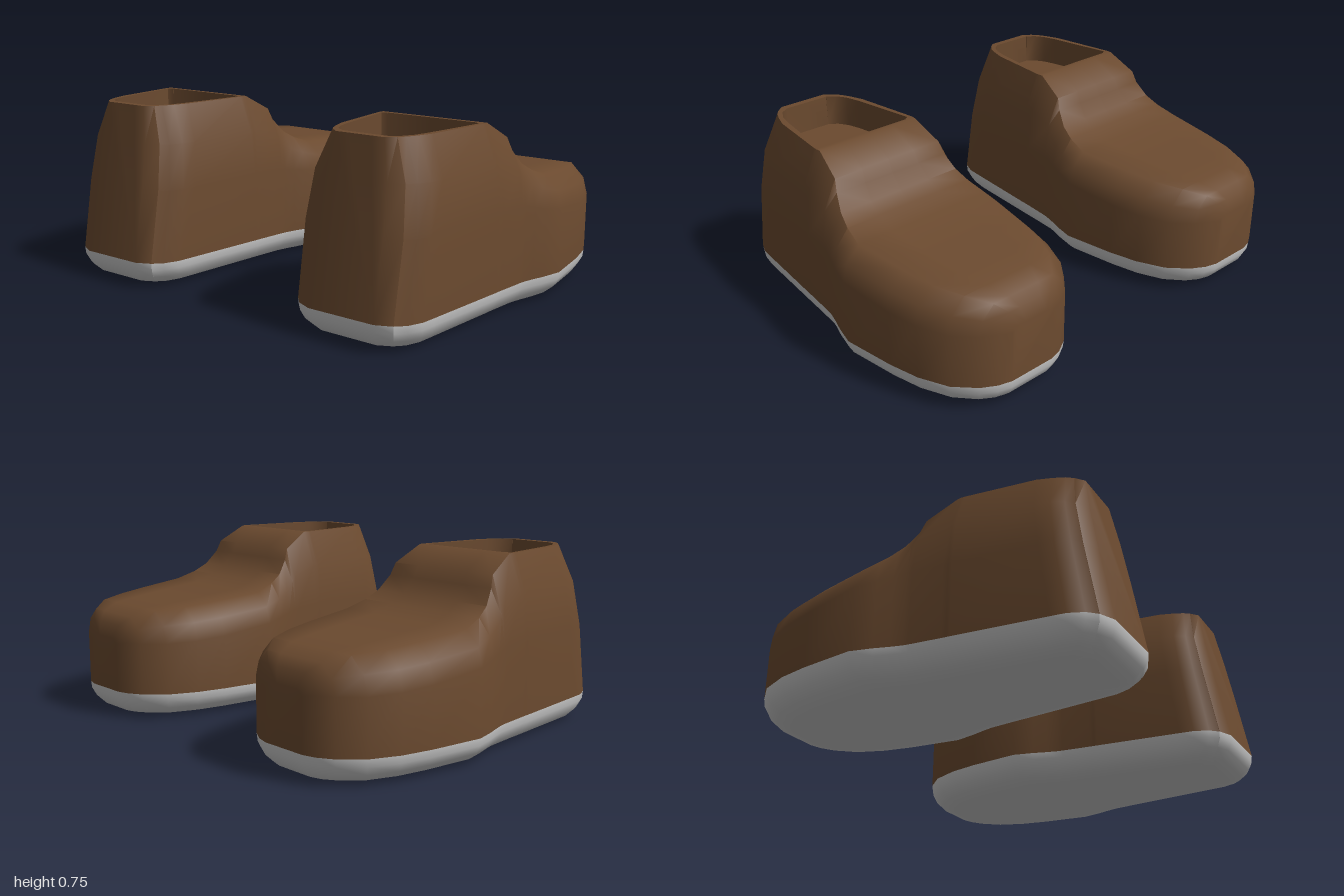
import * as THREE from 'three';
import { toCreasedNormals } from 'three/addons/utils/BufferGeometryUtils.js';

const SOLE_TOP = 0.11, FLOOR = 0.62;

// Cross-sections from toe (-z) to heel (+z):
// [z at base, z at top, half width, shoulder height, top half width, top height, opening half width, recess floor]
const SECTIONS = [
  [-0.78, -0.78, 0.10, 0.32, 0.07, 0.34],
  [-0.765, -0.765, 0.155, 0.33, 0.10, 0.40],
  [-0.73, -0.73, 0.215, 0.33, 0.145, 0.437],
  [-0.65, -0.65, 0.29, 0.33, 0.21, 0.462],
  [-0.53, -0.53, 0.34, 0.335, 0.26, 0.472],
  [-0.40, -0.40, 0.367, 0.345, 0.285, 0.484],
  [-0.17, -0.17, 0.395, 0.375, 0.315, 0.505],
  [-0.08, -0.08, 0.372, 0.39, 0.30, 0.535],
  [-0.02, -0.02, 0.352, 0.40, 0.285, 0.57],
  [0.03, 0.03, 0.338, 0.41, 0.265, 0.63],
  [0.05, 0.05, 0.335, 0.41, 0.255, 0.68],
  [0.18, 0.175, 0.32, 0.41, 0.235, 0.75],
  [0.20, 0.195, 0.318, 0.41, 0.238, 0.75, 0.20, 0.75],
  [0.201, 0.196, 0.318, 0.41, 0.238, 0.75, 0.20, FLOOR],
  [0.215, 0.21, 0.317, 0.41, 0.237, 0.75, 0.22, FLOOR],
  [0.59, 0.50, 0.277, 0.41, 0.20, 0.75, 0.175, FLOOR],
  [0.65, 0.56, 0.27, 0.41, 0.18, 0.75, 0.16, FLOOR],
  [0.71, 0.605, 0.245, 0.41, 0.16, 0.75, 0.135, FLOOR],
  [0.745, 0.63, 0.21, 0.41, 0.14, 0.75, 0.10, FLOOR],
  [0.746, 0.631, 0.21, 0.41, 0.14, 0.75, 0.10, 0.75],
  [0.775, 0.66, 0.145, 0.41, 0.105, 0.75, 0.05, 0.75],
];

function build(points, index) {
  const g = new THREE.BufferGeometry();
  g.setAttribute('position', new THREE.Float32BufferAttribute(points.flat(), 3));
  g.setIndex(index);
  return toCreasedNormals(g, 0.9);
}

// Skin a grid of points stored row after row
function skin(rows, cols, closed) {
  const index = [];
  for (let i = 0; i < rows - 1; i++) {
    for (let j = 0; j < (closed ? cols : cols - 1); j++) {
      const k = (j + 1) % cols;
      const a = i * cols + j, b = i * cols + k, c = a + cols, d = b + cols;
      index.push(a, b, c, b, d, c);
    }
  }
  return index;
}

// Upper: lofted along the foot, with the ankle opening sunk into it
function upperGeometry() {
  const points = [];
  for (const [zb, zt, w, s, wt, h, wi = wt * 0.5, f = h] of SECTIONS) {
    const zAt = (y) => zb + (zt - zb) * (y - SOLE_TOP) / (h - SOLE_TOP);
    const wall = [[w, SOLE_TOP], [w, s], [w + (wt - w) * 0.25, s + (h - s) * 0.55], [wt, h]];
    const half = wall.map(([x, y]) => [x, y, zAt(y)]);
    half.push([wi, h, zt], [wi, f, zt]);
    const mirrored = half.map(([x, y, z]) => [-x, y, z]).reverse();
    points.push(...half, [0, f, zt], ...mirrored);
  }
  const cols = 13, rows = SECTIONS.length, last = (rows - 1) * cols;
  const index = skin(rows, cols, false);
  // Toe and heel end faces
  for (let j = 1; j < cols - 1; j++) {
    index.push(0, j + 1, j);
    index.push(last, last + j, last + j + 1);
  }
  return build(points, index);
}

// Sole: the same footprint, tucked in towards the ground
function soleGeometry() {
  const side = SECTIONS.map(([z, , w]) => [w, z]);
  const loop = [...side, ...side.map(([x, z]) => [-x, z]).reverse()];
  const layers = [[SOLE_TOP, 0], [0.08, 0.003], [0.045, 0.02], [0.015, 0.05], [0, 0.1]];
  const points = [];
  for (const [y, inset] of layers) {
    for (const [x, z] of loop) points.push([x * (1 - inset / 0.33), y, z * (1 - inset / 0.78)]);
  }
  const n = loop.length, start = (layers.length - 1) * n;
  const index = skin(layers.length, n, true);
  // Flat underside
  for (let j = 0; j < n; j++) index.push(start + j, start + (j + 1) % n, points.length);
  points.push([0, 0, 0]);
  // Loop order runs toe to heel on +x, so flip the side walls and base to face outwards
  return build(points, orient(index, points));
}

// Turn every triangle of a convex-like shell away from its middle
function orient(index, points) {
  const centre = new THREE.Vector3(0, 0.2, 0);
  const out = [];
  for (let i = 0; i < index.length; i += 3) {
    const [a, b, c] = index.slice(i, i + 3);
    const [A, B, C] = [a, b, c].map((k) => new THREE.Vector3(...points[k]));
    const normal = B.clone().sub(A).cross(C.clone().sub(A));
    if (normal.dot(A.sub(centre)) < 0) out.push(a, c, b);
    else out.push(a, b, c);
  }
  return out;
}

export function createModel() {
  const model = new THREE.Group();
  model.name = 'pairOfShoes';
  const brown = new THREE.MeshStandardMaterial({ color: 0x6b4a2f });
  const grey = new THREE.MeshStandardMaterial({ color: 0xcccccc });
  const upperGeo = upperGeometry(), soleGeo = soleGeometry();

  for (const [name, x] of [['leftShoe', 0.605], ['rightShoe', -0.605]]) {
    const shoe = new THREE.Group();
    shoe.name = name;
    shoe.position.x = x;
    const upper = new THREE.Mesh(upperGeo, brown);
    upper.name = 'upper';
    const sole = new THREE.Mesh(soleGeo, grey);
    sole.name = 'sole';
    shoe.add(upper, sole);
    model.add(shoe);
  }
  return model;
}
